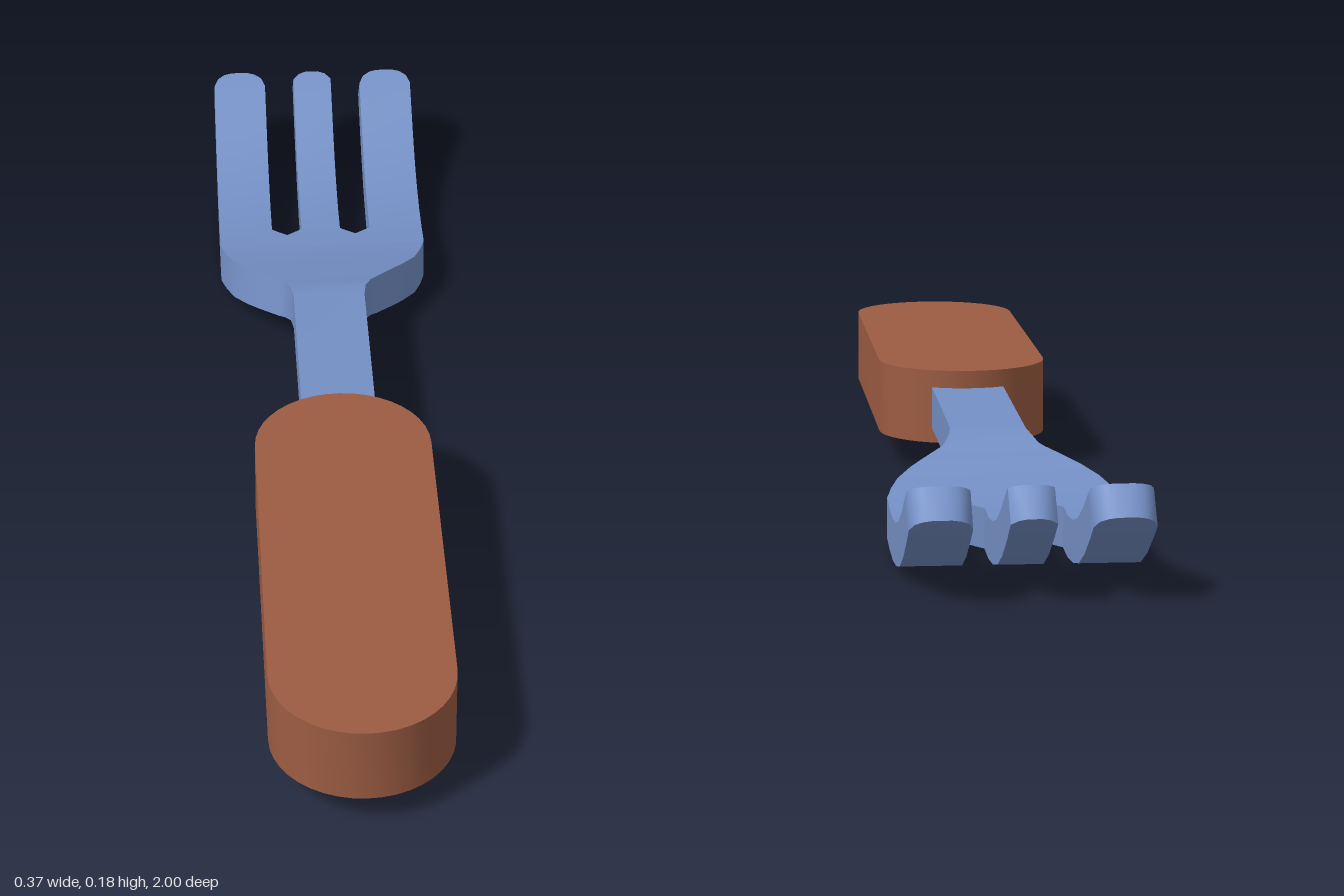
import * as THREE from 'three';
import { mergeGeometries, toCreasedNormals } from 'three/addons/utils/BufferGeometryUtils.js';

// Side profile: [centre z, centre y, half thickness in z, half thickness in y]
const PROFILE = [
  [0.135, 0.116, 0, 0.036], [-0.23, 0.110, 0, 0.034], [-0.27, 0.107, -0.004, 0.033],
  [-0.31, 0.093, -0.010, 0.032], [-0.36, 0.079, -0.010, 0.033], [-0.42, 0.062, -0.008, 0.033],
  [-0.49, 0.047, -0.006, 0.033], [-0.56, 0.038, -0.003, 0.033], [-0.63, 0.035, 0, 0.033],
  [-0.70, 0.041, 0.004, 0.033], [-0.77, 0.056, 0.010, 0.033], [-0.84, 0.084, 0.014, 0.032],
  [-0.91, 0.121, 0.019, 0.029], [-0.975, 0.156, 0.025, 0.021],
];

// Linear lookup in a table sorted by falling z
function lookup(table, z) {
  let i = 0;
  while (i < table.length - 2 && z < table[i + 1][0]) i++;
  const a = table[i], b = table[i + 1];
  const t = (z - a[0]) / (b[0] - a[0]);
  return a.map((v, k) => v + (b[k] - v) * t);
}

// Solid strip following the side profile; outline rows are [z, left x, right x]
function strip(outline, capNear, capFar) {
  const zNear = outline[0][0], zFar = outline[outline.length - 1][0];
  const stops = [...new Set([...outline, ...PROFILE].map((r) => r[0]))]
    .filter((z) => z <= zNear && z >= zFar).sort((a, b) => b - a);
  const rings = stops.map((z) => {
    const [, x0, x1] = lookup(outline, z);
    const [zc, yc, dz, dy] = lookup(PROFILE, z);
    return {
      t0: [x0, yc + dy, zc + dz], t1: [x1, yc + dy, zc + dz],
      b0: [x0, yc - dy, zc - dz], b1: [x1, yc - dy, zc - dz],
    };
  });
  const pos = [];
  const quad = (a, b, c, d) => pos.push(...a, ...b, ...c, ...a, ...c, ...d);
  for (let i = 0; i < rings.length - 1; i++) {
    const n = rings[i], f = rings[i + 1];
    quad(n.t0, n.t1, f.t1, f.t0);
    quad(n.b0, f.b0, f.b1, n.b1);
    quad(n.t1, n.b1, f.b1, f.t1);
    quad(n.t0, f.t0, f.b0, n.b0);
  }
  const n = rings[0], f = rings[rings.length - 1];
  if (capNear) quad(n.t0, n.b0, n.b1, n.t1);
  if (capFar) quad(f.t0, f.t1, f.b1, f.b0);
  const geo = new THREE.BufferGeometry();
  geo.setAttribute('position', new THREE.Float32BufferAttribute(pos, 3));
  return geo;
}

export function createModel() {
  const metal = new THREE.MeshStandardMaterial({ color: 0x7590c6 });
  metal.name = 'blue metal';
  const wood = new THREE.MeshStandardMaterial({ color: 0x9c5c42 });
  wood.name = 'brown wood';
  const group = new THREE.Group();
  group.name = 'fork';

  // Neck widening into the palm, [z, half width]
  const palm = strip([
    [0.135, 0.062], [-0.24, 0.062], [-0.27, 0.066], [-0.30, 0.077], [-0.34, 0.108],
    [-0.38, 0.138], [-0.42, 0.162], [-0.46, 0.175], [-0.50, 0.184], [-0.54, 0.184],
  ].map(([z, w]) => [z, -w, w]), true, false);

  // Three tines; the roots meet at the pointed slot ends, the tips are rounded
  const outer = [
    [-0.54, 0.062, 0.184], [-0.565, 0.089, 0.184], [-0.945, 0.089, 0.184],
    [-0.962, 0.096, 0.177], [-0.971, 0.108, 0.165], [-0.975, 0.122, 0.151],
  ];
  const middle = [
    [-0.54, -0.062, 0.062], [-0.565, -0.035, 0.035], [-0.958, -0.035, 0.035],
    [-0.97, -0.024, 0.024], [-0.975, -0.011, 0.011],
  ];
  const mirrored = outer.map(([z, a, b]) => [z, -b, -a]);
  const tines = [outer, middle, mirrored].map((o) => strip(o, false, true));

  const head = new THREE.Mesh(toCreasedNormals(mergeGeometries([palm, ...tines]), 0.6), metal);
  head.name = 'neckAndTines';
  group.add(head);

  // Handle: flat bar with semicircular ends
  const r = 0.145, mid = 0.5575, reach = 0.4425 - r;
  const shape = new THREE.Shape();
  shape.absarc(0, -mid + reach, r, 0, Math.PI, false);
  shape.absarc(0, -mid - reach, r, Math.PI, Math.PI * 2, false);
  shape.closePath();
  const bar = new THREE.ExtrudeGeometry(shape, { depth: 0.127, bevelEnabled: false, curveSegments: 10 });
  bar.rotateX(-Math.PI / 2).translate(0, 0.055, 0);
  const handle = new THREE.Mesh(toCreasedNormals(bar, 0.6), wood);
  handle.name = 'handle';
  group.add(handle);

  return group;
}
